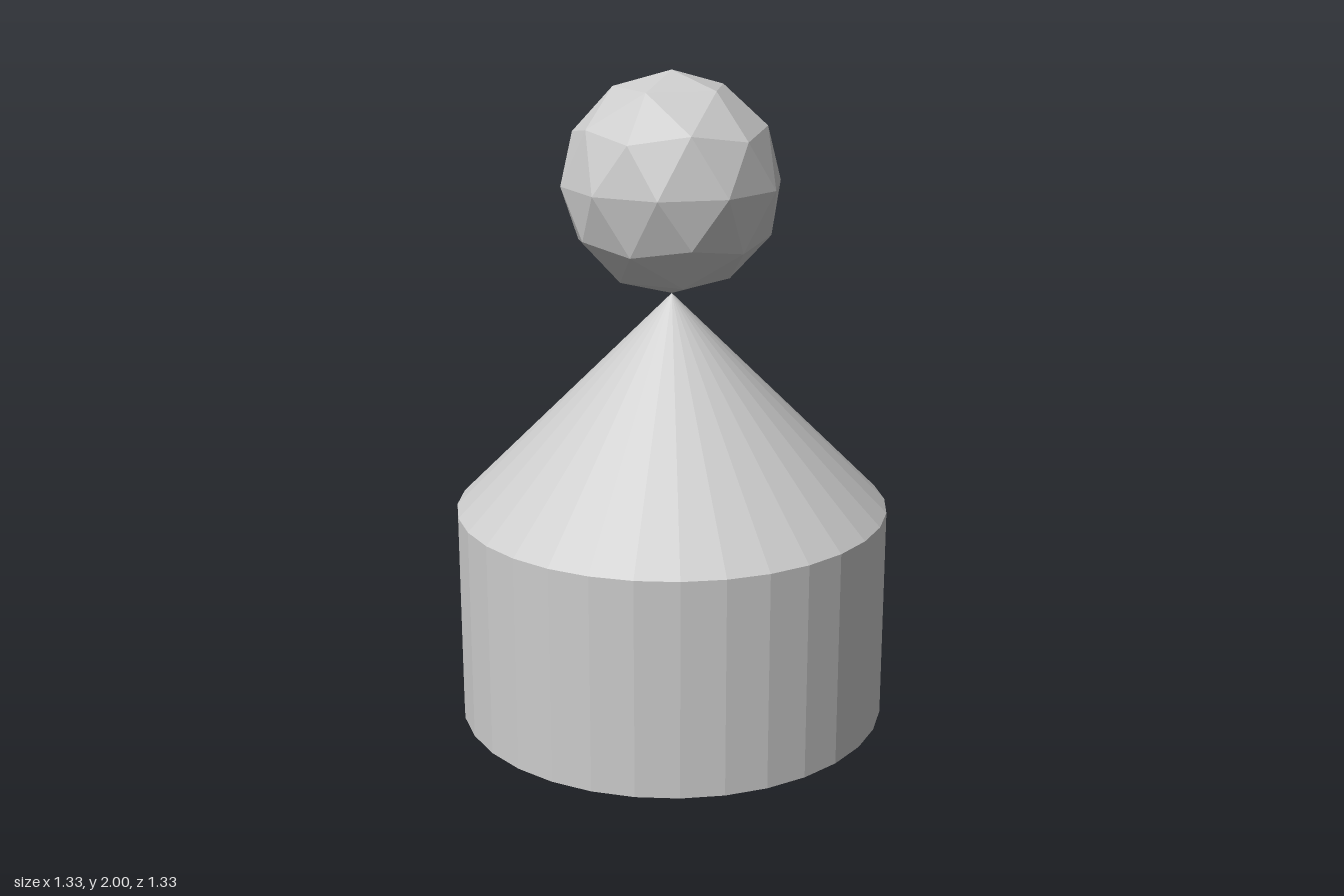
import * as THREE from 'three';

const R = 2 / 3; // radius of the base, and height of both base and roof
const SIDES = 32;

export function createModel() {
  const group = new THREE.Group();
  const lightGrey = new THREE.MeshStandardMaterial({ name: 'lightGrey', color: 0xcccccc, flatShading: true });

  const add = (name, geometry, y) => {
    const mesh = new THREE.Mesh(geometry, lightGrey);
    mesh.name = name;
    mesh.position.y = y;
    group.add(mesh);
  };

  // Drum-shaped base
  add('base', new THREE.CylinderGeometry(R, R, R, SIDES), R / 2);

  // Conical roof resting on the base
  add('roof', new THREE.ConeGeometry(R, R, SIDES), R * 1.5);

  // Faceted ball balanced on the tip, turned so that one corner points straight up
  const ball = new THREE.IcosahedronGeometry(R / 2, 1);
  ball.rotateZ(-Math.atan(2 / (1 + Math.sqrt(5))));
  add('ball', ball, R * 2.5);

  return group;
}
